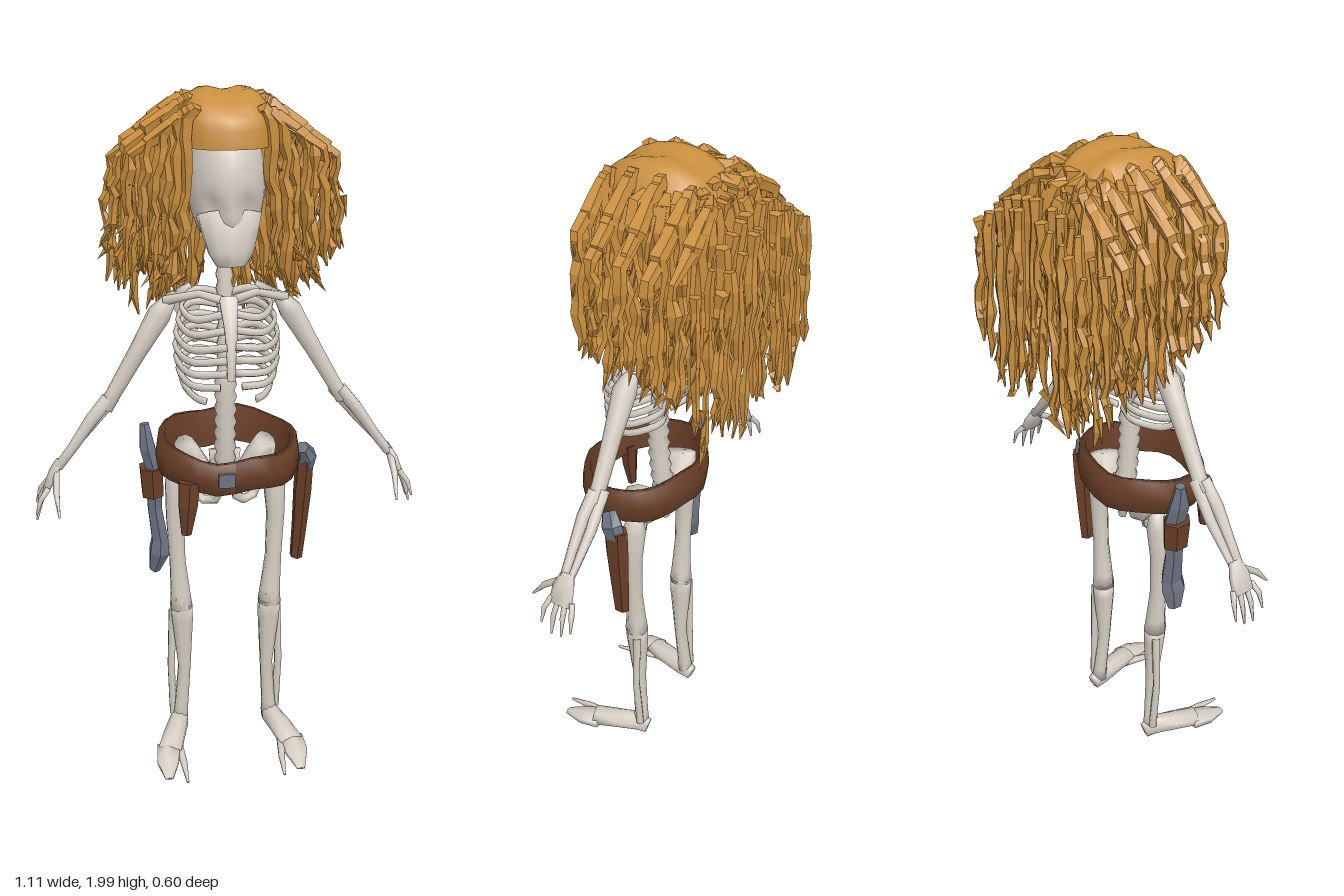
import * as THREE from 'three';
import { mergeGeometries } from 'three/addons/utils/BufferGeometryUtils.js';

const V = (x, y, z) => new THREE.Vector3(x, y, z);
const lerp = THREE.MathUtils.lerp;

// Small seeded generator for the ragged hair
let seed = 7;
const rnd = (a = 0, b = 1) => {
  seed = (seed * 16807) % 2147483647;
  return a + (b - a) * (seed / 2147483647);
};

// Sweep rings along points; each radius is a number or [across, along ref]
function loft(pts, radii, sides = 7, ref = V(0, 0, 1), flat = false) {
  const pos = [], idx = [];
  const P = pts.map((p) => (p.isVector3 ? p : V(...p)));
  const n = P.length;
  P.forEach((p, i) => {
    const t = P[Math.min(i + 1, n - 1)].clone().sub(P[Math.max(i - 1, 0)]).normalize();
    const u = ref.clone().cross(t).normalize();
    const v = t.clone().cross(u);
    const [a, b] = Array.isArray(radii[i]) ? radii[i] : [radii[i], radii[i]];
    for (let k = 0; k < sides; k++) {
      const w = ((k + 0.5) / sides) * Math.PI * 2;
      const q = p.clone().addScaledVector(u, Math.cos(w) * a).addScaledVector(v, Math.sin(w) * b);
      pos.push(q.x, q.y, q.z);
      if (i < n - 1) {
        const c = i * sides + k, d = i * sides + ((k + 1) % sides);
        idx.push(c, d, d + sides, c, d + sides, c + sides);
      }
    }
  });
  const e = (n - 1) * sides;
  for (let k = 1; k < sides - 1; k++) idx.push(0, k + 1, k, e, e + k, e + k + 1);
  let g = new THREE.BufferGeometry();
  g.setAttribute('position', new THREE.Float32BufferAttribute(pos, 3));
  g.setIndex(idx);
  if (flat) g = g.toNonIndexed();
  g.computeVertexNormals();
  return g;
}

export function createModel() {
  seed = 7;
  const model = new THREE.Group();
  const mat = (name, color, side = THREE.FrontSide) => {
    const m = new THREE.MeshStandardMaterial({ color, side });
    m.name = name;
    return m;
  };
  const bone = mat('bone', 0xd6cfc4);
  const hairColor = mat('golden hair', 0xc98f3f, THREE.DoubleSide);
  const leather = mat('brown leather', 0x6a3f28);
  const steel = mat('blue grey steel', 0x6c7482);
  const add = (name, geo, material, parent = model) => {
    const m = new THREE.Mesh(geo, material);
    m.name = name;
    parent.add(m);
    return m;
  };

  // Skull: a sphere narrowed to the jaw, with shallow sockets and a nose ridge
  const skull = new THREE.SphereGeometry(1, 28, 24);
  const p = skull.attributes.position;
  for (let i = 0; i < p.count; i++) {
    let x = p.getX(i), y = p.getY(i), z = p.getZ(i);
    const jaw = THREE.MathUtils.smoothstep(-y, 0.2, 1);
    if (z > 0.4) {
      const socket = Math.exp(-((Math.abs(x) - 0.45) ** 2 + (y + 0.3) ** 2) / 0.025);
      const nose = Math.exp(-(x * x + (y + 0.5) ** 2) / 0.02);
      z -= 0.2 * socket - 0.08 * nose;
    }
    p.setXYZ(i, x * 0.105, 1.75 + y * 0.185, 0.045 + z * 0.13 + (z < 0 ? jaw * 0.06 : jaw * 0.015));
  }
  skull.computeVertexNormals();
  add('skull', skull, bone);
  add('jaw', loft([[0, 1.67, 0.105], [0, 1.62, 0.13], [0, 1.575, 0.14], [0, 1.54, 0.145]],
    [[0.09, 0.055], [0.076, 0.046], [0.062, 0.038], [0.04, 0.028]], 10), bone);

  // Spine with a ring for each vertebra, ending in the sacrum
  const spinePts = [], spineR = [];
  for (let i = 0; i <= 36; i++) {
    const y = lerp(0.92, 1.62, i / 36);
    spinePts.push([0, y, 0.015 + 0.02 * Math.sin((y - 0.9) * 6)]);
    spineR.push((y < 1.2 ? 0.034 : 0.026) * (i % 2 ? 1 : 0.78));
  }
  add('spine', loft(spinePts, spineR, 8), bone);
  add('sacrum', loft([[0, 0.96, 0.015], [0, 0.91, 0.005], [0, 0.83, 0.01]], [[0.05, 0.016], [0.045, 0.018], [0.012, 0.01]], 8), bone);
  add('sternum', loft([[0, 1.44, 0.09], [0, 1.36, 0.15], [0, 1.22, 0.16]], [[0.03, 0.01], [0.02, 0.01], [0.012, 0.008]], 6), bone);

  for (const s of [1, -1]) {
    const label = s > 0 ? 'left' : 'right';
    const side = new THREE.Group();
    side.name = label + 'Limbs';
    model.add(side);
    const part = (name, pts, r, sides, ref) =>
      add(label + name, loft(pts.map(([x, y, z]) => V(x * s, y, z)), r, sides, ref), bone, side);

    // Ribs curve from the spine to the breastbone
    for (let i = 0; i < 7; i++) {
      const t = i / 6, y = 1.43 - 0.21 * t;
      const w = 0.1 + 0.045 * Math.sin(0.6 + t * 1.9), f = 0.1 + 0.06 * Math.min(1, t * 3);
      const end = i < 5 ? 0.012 : 0.03 + (i - 5) * 0.04;
      const c = new THREE.CatmullRomCurve3([V(0.01 * s, y, 0.0), V(w * 0.65 * s, y + 0.005, -0.02),
        V(w * s, y - 0.025, 0.05), V(w * 0.75 * s, y - 0.05, f * 0.87), V(end * s, y - 0.035 - t * 0.02, f)]);
      add(label + 'Rib', loft(c.getPoints(14), Array(15).fill([0.007, 0.012]), 5, V(0, 1, 0.01)), bone, side);
    }
    part('Collarbone', [[0.01, 1.43, 0.09], [0.08, 1.45, 0.08], [0.17, 1.42, 0.03]], [0.013, 0.011, 0.014], 6);
    part('ShoulderBlade', [[0.13, 1.44, -0.015], [0.1, 1.38, -0.025], [0.08, 1.28, -0.025]], [[0.045, 0.01], [0.04, 0.008], [0.006, 0.005]], 6);

    // Arm and hand
    part('UpperArm', [[0.155, 1.42, 0.02], [0.185, 1.38, 0.025], [0.25, 1.27, 0.025], [0.32, 1.15, 0.025], [0.345, 1.11, 0.025]],
      [0.02, 0.034, 0.026, 0.022, 0.024], 8);
    part('Radius', [[0.335, 1.14, 0.03], [0.385, 1.08, 0.038], [0.44, 1.0, 0.04], [0.485, 0.94, 0.038]], [0.02, 0.019, 0.015, 0.014], 7);
    part('Ulna', [[0.32, 1.14, 0.015], [0.39, 1.05, 0.01], [0.48, 0.945, 0.018]], [0.021, 0.016, 0.01], 7);
    part('Palm', [[0.48, 0.955, 0.028], [0.5, 0.92, 0.03], [0.522, 0.87, 0.03]], [[0.012, 0.02], [0.014, 0.035], [0.01, 0.038]], 7);
    for (let f = 0; f < 4; f++) {
      const z = 0.062 - f * 0.022, l = [0.03, 0, 0.005, 0.03][f];
      part('Finger', [[0.515, 0.885, z], [0.538, 0.84 + l * 0.5, z + 0.012 - f * 0.008], [0.552, 0.78 + l, z + 0.015 - f * 0.01]],
        [0.009, 0.008, 0.003], 5);
    }
    part('Thumb', [[0.49, 0.93, 0.045], [0.492, 0.89, 0.1], [0.487, 0.83, 0.15]], [0.011, 0.01, 0.003], 5);

    // Pelvis half
    part('HipBlade', [[0.12, 0.99, 0.03], [0.105, 0.94, 0.02], [0.065, 0.885, 0.025], [0.035, 0.85, 0.03]],
      [[0.03, 0.05], [0.045, 0.045], [0.04, 0.03], [0.02, 0.02]], 8);
    const ring = new THREE.TorusGeometry(0.034, 0.015, 6, 7);
    ring.scale(1.1, 0.95, 1).rotateY(s * 0.5).translate(s * 0.058, 0.85, 0.055);
    add(label + 'PelvisRing', ring, bone, side);
    part('HipJoint', [[0.06, 0.9, 0.035], [0.12, 0.895, 0.03], [0.16, 0.875, 0.03]], [0.022, 0.024, 0.015], 7);

    // Leg
    part('Thigh', [[0.135, 0.91, 0.03], [0.145, 0.87, 0.03], [0.15, 0.76, 0.033], [0.145, 0.62, 0.035], [0.137, 0.51, 0.035], [0.135, 0.46, 0.035]],
      [0.02, 0.035, 0.028, 0.025, 0.031, 0.036], 8);
    part('Knee', [[0.137, 0.5, 0.055], [0.137, 0.44, 0.055]], [[0.02, 0.012], [0.018, 0.012]], 6);
    part('Shin', [[0.135, 0.47, 0.035], [0.133, 0.42, 0.035], [0.128, 0.25, 0.032], [0.138, 0.1, 0.022], [0.142, 0.055, 0.02]],
      [0.035, 0.034, 0.02, 0.022, 0.026], 8);
    part('Fibula', [[0.16, 0.44, 0.02], [0.168, 0.25, 0.02], [0.162, 0.07, 0.012]], [0.014, 0.012, 0.013], 6);

    // Foot: a broad wedge with a pointed inner toe and blunt outer ones
    part('Foot', [[0.14, 0.04, -0.005], [0.146, 0.05, 0.03], [0.168, 0.046, 0.1], [0.188, 0.038, 0.17]],
      [[0.022, 0.03], [0.03, 0.036], [0.035, 0.028], [0.038, 0.024]], 8, V(0, 1, 0));
    part('OuterToes', [[0.19, 0.036, 0.15], [0.198, 0.026, 0.21], [0.2, 0.012, 0.275]], [[0.04, 0.022], [0.038, 0.018], [0.014, 0.006]], 6, V(0, 1, 0));
    part('InnerToe', [[0.16, 0.035, 0.13], [0.15, 0.022, 0.22], [0.146, 0.008, 0.295]], [0.014, 0.011, 0.004], 6, V(0, 1, 0));
  }

  // Tilted belt, lower and narrower at the front: a closed band lathed, then stretched to an oval
  const belt = new THREE.LatheGeometry([[0.9, -0.05], [1, -0.05], [1.04, 0], [1, 0.05], [0.9, 0.05], [0.9, -0.05]]
    .map(([x, y]) => new THREE.Vector2(x, y)), 24);
  belt.scale(0.2, 1, 0.173);
  const b = belt.attributes.position;
  for (let i = 0; i < b.count; i++) {
    const x = b.getX(i), z = b.getZ(i);
    b.setY(i, b.getY(i) * (1 - z * 0.7) + 0.983 - z * 0.1 + 0.008 * Math.sin(x * 30));
  }
  belt.translate(0, 0, 0.078);
  belt.computeVertexNormals();
  add('belt', belt, leather);
  const buckle = new THREE.BoxGeometry(0.045, 0.04, 0.009);
  buckle.translate(-0.025, 0.965, 0.257);
  add('buckle', buckle, steel);

  // Hanging strap, holster and its grip, sheathed club and its loop
  const gear = (name, pts, r, m) => add(name, loft(pts, r, 6, V(0, 0, 1), true), m);
  gear('strap', [[-0.125, 0.95, 0.215], [-0.13, 0.88, 0.22], [-0.135, 0.79, 0.215]], [[0.034, 0.024], [0.03, 0.022], [0.016, 0.012]], leather);
  gear('holster', [[0.235, 0.93, 0.035], [0.23, 0.83, 0.035], [0.222, 0.7, 0.035], [0.215, 0.61, 0.035]],
    [[0.026, 0.04], [0.027, 0.038], [0.022, 0.031], [0.019, 0.026]], leather);
  gear('holsterGrip', [[0.235, 0.9, 0.035], [0.24, 0.945, 0.045], [0.222, 0.975, 0.065]], [[0.024, 0.034], [0.028, 0.036], [0.018, 0.022]], steel);
  gear('club', [[-0.235, 1.06, 0.035], [-0.228, 0.99, 0.04], [-0.21, 0.92, 0.04], [-0.21, 0.8, 0.04], [-0.197, 0.7, 0.045], [-0.2, 0.66, 0.05], [-0.215, 0.6, 0.045]],
    [0.015, [0.025, 0.036], [0.026, 0.038], [0.023, 0.032], [0.027, 0.038], [0.032, 0.042], [0.017, 0.024]], steel);
  gear('clubLoop', [[-0.218, 0.93, 0.04], [-0.215, 0.84, 0.04]], [[0.038, 0.045], [0.034, 0.041]], leather);

  // Hair cap: a squarish dome with a parting, drawn down at the back
  const cap = new THREE.SphereGeometry(1, 20, 8, 0, Math.PI * 2, 0, Math.PI / 2);
  const c = cap.attributes.position;
  for (let i = 0; i < c.count; i++) {
    const x = c.getX(i), y = c.getY(i), z = c.getZ(i);
    const drop = (1 - y) * Math.max(0, 0.3 - z) * 0.1;
    const part = 0.016 * Math.exp(-x * x * 40) * y;
    c.setXYZ(i, Math.sign(x) * Math.abs(x) ** 0.7 * 0.14, 1.85 + Math.abs(y) ** 0.7 * 0.147 - drop - part, -0.015 + z * (z < 0 ? 0.2 : 0.185));
  }
  cap.computeVertexNormals();
  add('hairCap', cap, hairColor);

  // Ragged locks in rows from front to back: [z, inner reach, outer reach, count, tip height]
  const rows = [[0.115, 0.115, 0.25, 6, 1.5], [0.04, 0.115, 0.3, 7, 1.47], [-0.04, 0.1, 0.3, 7, 1.43], [-0.125, 0.03, 0.3, 8, 1.4],
    [-0.18, 0.02, 0.28, 8, 1.4], [-0.238, 0.03, 0.26, 6, 1.31], [-0.28, 0.04, 0.23, 5, 1.33]];
  const locks = [];
  for (const [z, inner, outer, count, low] of rows) for (const s of [1, -1]) for (let k = 0; k < count; k++) {
    const r = lerp(inner, outer, (k / (count - 1)) ** 1.15) + rnd(-0.008, 0.008);
    const top = 1.985 - 1.7 * r * r - Math.max(0, -0.1 - z) * 0.5 - (z > 0.1 ? 0.02 : 0);
    const tip = low + Math.max(0, r - 0.2) * 0.6 + rnd(-0.03, 0.07);
    const pts = [], rad = [];
    if (z > -0.2 && r > 0.1) {
      const x = lerp(0.07, r, 0.6);
      pts.push(V(0.07 * s, 1.965 - Math.abs(z + 0.02) * 0.2, z * 0.9), V(x * s, top + 0.9 * (r * r - x * x), z));
      rad.push(0.012, 0.02);
    }
    const steps = 9;
    for (let i = 0; i <= steps; i++) {
      const t = i / steps;
      pts.push(V((r + 0.022 * t + rnd(-0.01, 0.01)) * s, lerp(top - 0.02, tip, t), z + rnd(-0.006, 0.006) - 0.01 * t));
      const w = rnd(0.6, 1.35) * (z < -0.2 ? 0.013 : lerp(0.023, 0.014, r / 0.3)) * (1 - 0.3 * t);
      rad.push(i === steps ? 0.003 : [w, w * 1.25]);
      // Loose flakes sticking out of the lock
      if (i > 0 && rnd() < 0.35) {
        const flake = new THREE.ConeGeometry(0.014, rnd(0.04, 0.075), 3).toNonIndexed();
        flake.rotateZ(Math.PI + s * rnd(0.1, 0.9)).rotateY(rnd(-0.3, 0.3));
        const q = pts[pts.length - 1];
        flake.translate(q.x + 0.01 * s, q.y, q.z);
        flake.deleteAttribute('uv');
        flake.computeVertexNormals();
        locks.push(flake);
      }
    }
    locks.push(loft(pts, rad, 5, V(0, 0, 1), true));
  }

  // Swept tufts layered over the crown, leaving the face clear
  for (let i = 0; i < 34; i++) {
    const a = rnd(-0.25, Math.PI + 0.25), h = rnd(0.15, 0.7);
    const x = Math.cos(a), z = -Math.sin(a), e = Math.sqrt(1 - h * h);
    const at = (k, y) => V(x * 0.16 * e * k, y, -0.02 + z * 0.17 * e * k);
    const y = 1.855 + h * 0.135;
    locks.push(loft([at(0.8, y + 0.015), at(1.08, y), at(1.22, y - 0.05), at(1.26, y - 0.11)], [0.012, 0.024, 0.02, 0.003], 4, V(0.1, 0.2, 1), true));
  }
  add('hairLocks', mergeGeometries(locks), hairColor);
  return model;
}
